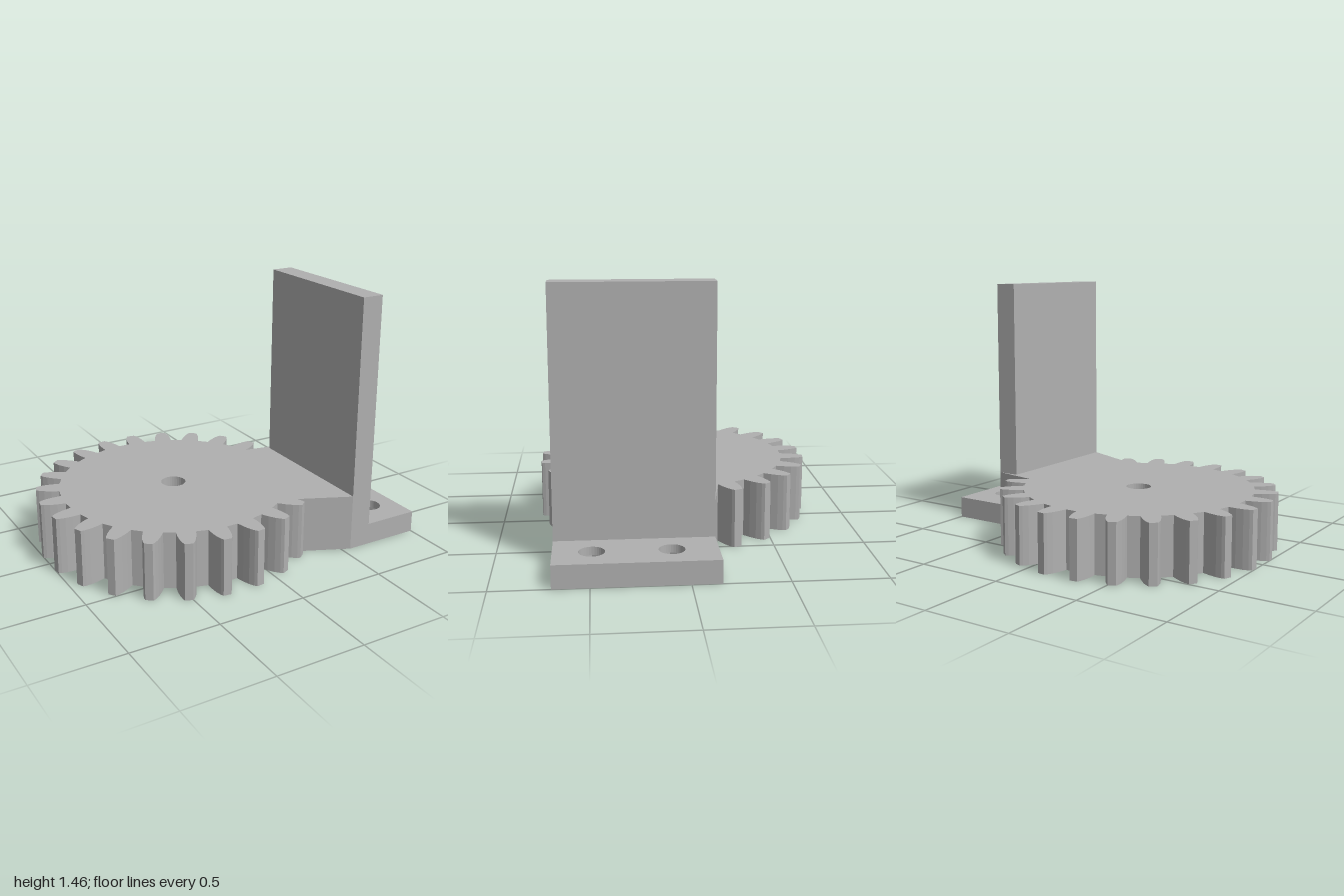
import * as THREE from 'three';

const metal = new THREE.MeshStandardMaterial({ color: 0xb0b0b0 });
metal.name = 'plain grey';

const V = (x, y) => new THREE.Vector2(x, y);

// Plan outline (x, -z) raised from y0 by height
function slab(name, shape, y0, height) {
  const geo = new THREE.ExtrudeGeometry(shape, { depth: height, bevelEnabled: false, curveSegments: 24 });
  geo.rotateX(-Math.PI / 2);
  geo.translate(0, y0, 0);
  const mesh = new THREE.Mesh(geo, metal);
  mesh.name = name;
  return mesh;
}

function rectangle(x0, x1, z0, z1) {
  return new THREE.Shape([V(x0, -z1), V(x1, -z1), V(x1, -z0), V(x0, -z0)]);
}

// Regular polygon hole: many sides for a bore, six for a nut pocket
function hole(x, z, radius, sides) {
  const points = [];
  for (let i = 0; i < sides; i++) {
    const a = -i * 2 * Math.PI / sides;
    points.push(V(x + radius * Math.cos(a), -z + radius * Math.sin(a)));
  }
  return new THREE.Path(points);
}

export function createModel() {
  const group = new THREE.Group();
  group.name = 'gearBracket';

  const gearX = -0.22, plateIn = 0.55, plateOut = 0.675, back = -0.155, front = 0.69;
  const gearHeight = 0.325, footHeight = 0.125, pocketDepth = 0.08;

  // Gear: curved teeth as [radius, half angle in degrees], running into the bracket
  const flank = [[0.655, 4.6], [0.70, 4.0], [0.74, 3.2], [0.77, 2.3], [0.786, 1.6]];
  const outline = [];
  const addPoint = (r, deg) => {
    const a = THREE.MathUtils.degToRad(deg);
    outline.push(V(gearX + r * Math.cos(a), r * Math.sin(a)));
  };
  const teeth = 20, pitch = 15;
  for (let i = 0; i < teeth; i++) {
    const mid = 22.5 + i * pitch;
    flank.forEach(([r, half]) => addPoint(r, mid - half));
    // the last tooth merges with the web part way down its flank
    const down = [...flank].reverse().slice(0, i === teeth - 1 ? 3 : flank.length);
    down.forEach(([r, half]) => addPoint(r, mid + half));
  }
  outline.push(V(plateIn, -front), V(plateOut, -front), V(plateOut, -back));
  const gear = new THREE.Shape(outline);
  gear.holes.push(hole(gearX, 0, 0.07, 32));
  group.add(slab('gear', gear, 0, gearHeight));

  // Upright plate
  group.add(slab('uprightPlate', rectangle(plateIn, plateOut, back, front), gearHeight, 1.46 - gearHeight));

  // Mounting foot: hexagonal nut pockets below, round screw holes above
  const lower = rectangle(plateOut, 1, back, front);
  const upper = rectangle(plateOut, 1, back, front);
  for (const z of [0.085, 0.49]) {
    lower.holes.push(hole(0.835, z, 0.12, 6));
    upper.holes.push(hole(0.835, z, 0.068, 32));
  }
  group.add(slab('footNutPockets', lower, 0, pocketDepth));
  group.add(slab('footScrewHoles', upper, pocketDepth, footHeight - pocketDepth));

  return group;
}
